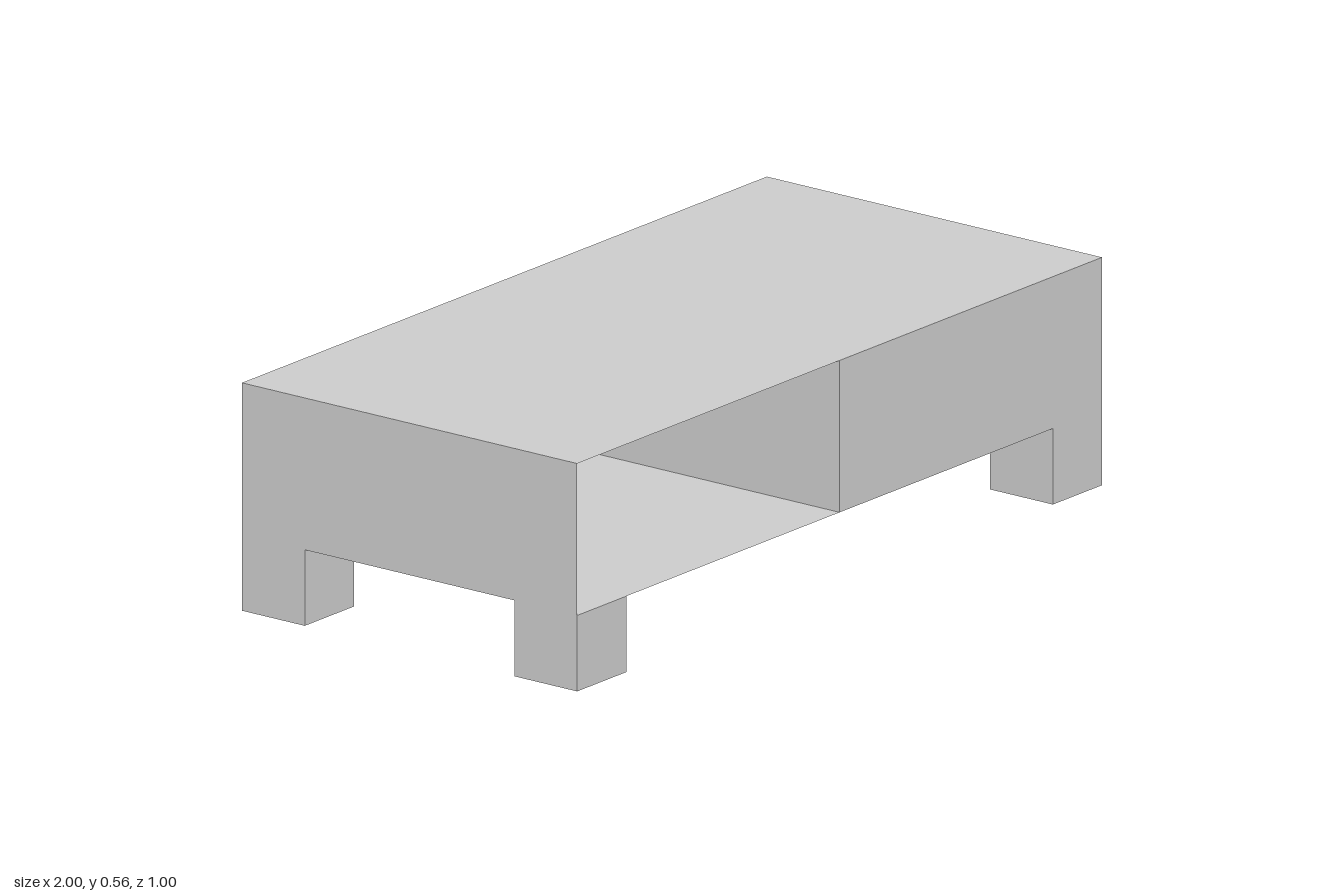
import * as THREE from 'three';

export function createModel() {
  const model = new THREE.Group();
  const material = new THREE.MeshStandardMaterial({
    color: 0xcccccc, flatShading: true, side: THREE.DoubleSide,
  });

  const W = 2, D = 1, H = 0.5625; // overall size
  const leg = 0.1875;             // legs are cubes
  const bodyH = H - leg;
  const midY = leg + bodyH / 2;

  // Thin panel of the body, centred at (x, y, z)
  function panel(name, w, h, x, y, z, rx = 0, ry = 0) {
    const mesh = new THREE.Mesh(new THREE.PlaneGeometry(w, h), material);
    mesh.name = name;
    mesh.position.set(x, y, z);
    mesh.rotation.set(rx, ry, 0);
    model.add(mesh);
  }

  const q = Math.PI / 2;
  panel('top', W, D, 0, H, 0, -q);
  panel('floor', W, D, 0, leg, 0, q);
  panel('back', W, bodyH, 0, midY, -D / 2, 0, Math.PI);
  panel('leftSide', D, bodyH, W / 2, midY, 0, 0, q);
  panel('rightSide', D, bodyH, -W / 2, midY, 0, 0, -q);

  // Closed front half, with the open compartment beside it
  panel('frontPanel', W / 2, bodyH, W / 4, midY, D / 2);
  panel('divider', D, bodyH, 0, midY, 0, 0, -q);

  // Four corner legs
  for (const sx of [-1, 1]) {
    for (const sz of [-1, 1]) {
      const mesh = new THREE.Mesh(new THREE.BoxGeometry(leg, leg, leg), material);
      mesh.name = (sz > 0 ? 'front' : 'back') + (sx > 0 ? 'Left' : 'Right') + 'Leg';
      mesh.position.set(sx * (W - leg) / 2, leg / 2, sz * (D - leg) / 2);
      model.add(mesh);
    }
  }
  return model;
}
